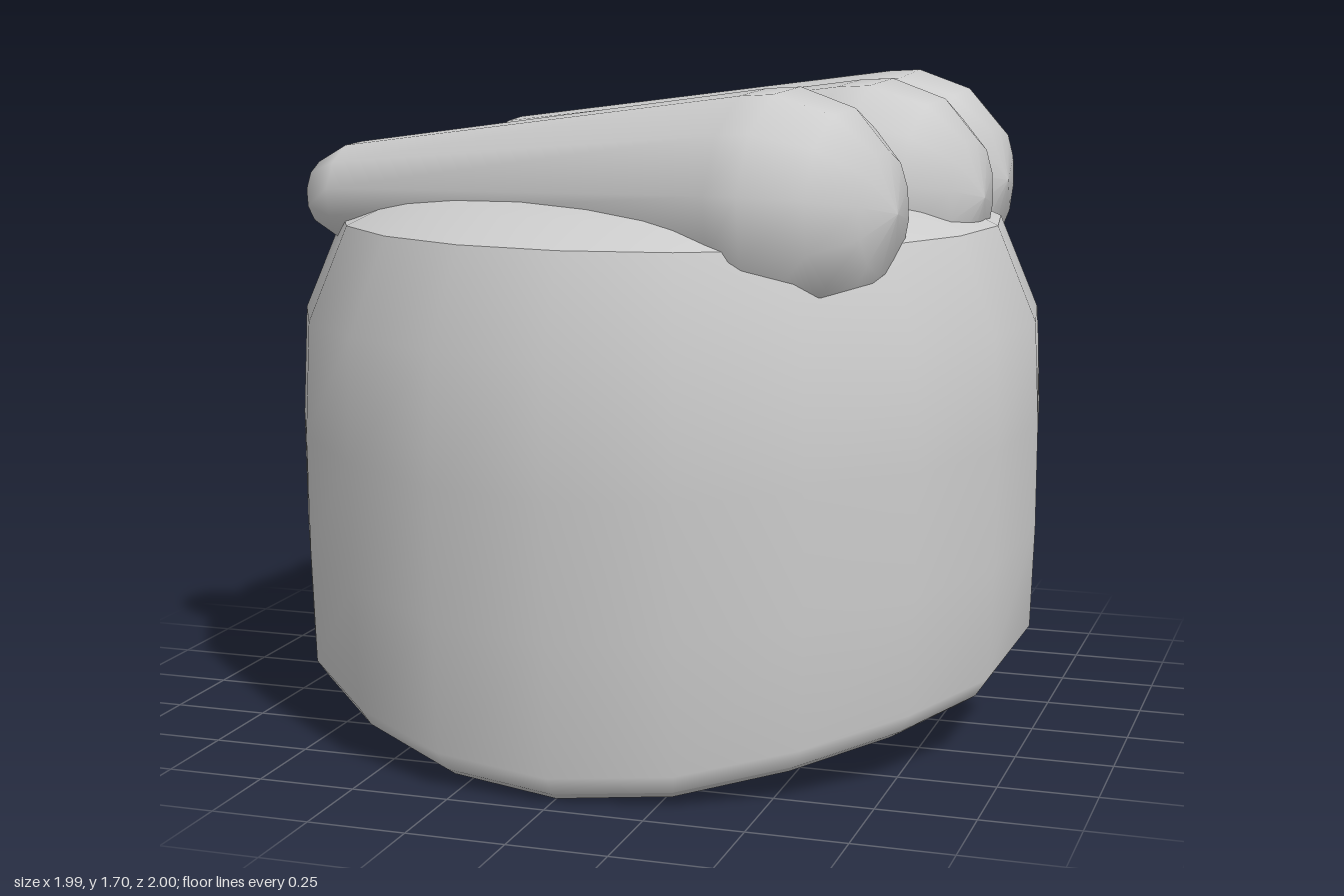
import * as THREE from 'three';

const SIDES = 20;
const grey = new THREE.MeshStandardMaterial({ color: 0xcccccc, side: THREE.DoubleSide });
grey.name = 'plain grey';

// Lower edge height by column, from the front (0) round to the back (10)
const EDGE = [0.0, 0.02, 0.07, 0.115, 0.145, 0.21, 0.76, 0.99, 0.99, 0.99, 0.99];
const edgeAt = (i) => EDGE[Math.min(i, SIDES - i)];

// Outer radius at a given height
const OUTER = [[0, 0.975], [0.25, 0.985], [0.7, 1.0], [1.08, 0.985], [1.33, 0.88]];
function outerRadius(y) {
  for (let k = 1; k < OUTER.length; k++) {
    const [y0, r0] = OUTER[k - 1], [y1, r1] = OUTER[k];
    if (y <= y1) return r0 + (r1 - r0) * (y - y0) / (y1 - y0);
  }
  return 0.88;
}

// Smooth ring surface; profile(i) gives [radius, y] points for column i, bottom to top
function ringSurface(name, profile) {
  const pos = [], index = [];
  const rows = profile(0).length;
  for (let i = 0; i < SIDES; i++) {
    const a = (i / SIDES) * Math.PI * 2;
    for (const [r, y] of profile(i)) pos.push(r * Math.sin(a), y, r * Math.cos(a));
  }
  for (let i = 0; i < SIDES; i++) {
    const n = (i + 1) % SIDES;
    for (let j = 0; j < rows - 1; j++) {
      const a = i * rows + j, b = n * rows + j;
      index.push(a, b, b + 1, a, b + 1, a + 1);
    }
  }
  const g = new THREE.BufferGeometry();
  g.setAttribute('position', new THREE.Float32BufferAttribute(pos, 3));
  g.setIndex(index);
  g.computeVertexNormals();
  const mesh = new THREE.Mesh(g, grey);
  mesh.name = name;
  return mesh;
}

// Rounded lower edge: full wall, tucked-in corner, inner corner
const wallBottom = (i) => {
  const y = edgeAt(i) + 0.07;
  return [outerRadius(y) + (y > 1 ? 0.012 : 0), y];
};
const outerCorner = (i) => [wallBottom(i)[0] - 0.035, edgeAt(i) + 0.02];
const innerCorner = (i) => [wallBottom(i)[0] - 0.065, edgeAt(i)];

// Tapered rounded roll, wide end at one point and thin end at the other
function roll(name, wide, thin) {
  const from = new THREE.Vector3(...wide), to = new THREE.Vector3(...thin);
  const L = from.distanceTo(to);
  const profile = [
    [0, -0.31], [0.15, -0.275], [0.25, -0.18], [0.3, -0.03], [0.295, 0.06],
    [0.14, L], [0.09, L + 0.1], [0, L + 0.13],
  ].map(([r, y]) => new THREE.Vector2(r, y));
  const mesh = new THREE.Mesh(new THREE.LatheGeometry(profile, 12), grey);
  mesh.name = name;
  mesh.position.copy(from);
  mesh.quaternion.setFromUnitVectors(new THREE.Vector3(0, 1, 0), to.clone().sub(from).normalize());
  return mesh;
}

export function createModel() {
  const model = new THREE.Group();
  model.name = 'cuff';

  // Outer wall, from the tucked-in lower corner to the top edge
  model.add(ringSurface('outerWall', (i) => {
    const [r0, y0] = wallBottom(i);
    const pts = [outerCorner(i), [r0, y0]];
    for (const t of [0.33, 0.67, 1]) {
      const y = y0 + (1.085 - y0) * t;
      pts.push([outerRadius(y), y]);
    }
    pts.push([0.88, 1.33]);
    return pts;
  }));

  // Lower rim
  model.add(ringSurface('lowerRim', (i) => [innerCorner(i), outerCorner(i)]));

  // Inner wall curving into the ceiling
  model.add(ringSurface('innerWall', (i) => {
    const [r, y] = innerCorner(i);
    return [[r, y], [0.935, y + (1.02 - y) * 0.5], [0.92, 1.02],
      [0.86, 1.11], [0.75, 1.16], [0.6, 1.16], [0.425, 1.12]];
  }));

  // Short collar around the ceiling opening
  model.add(ringSurface('collar', () => [[0.425, 1.12], [0.425, 1.37]]));

  // Slightly domed lid
  const lidProfile = [[0.88, 1.33], [0.75, 1.39], [0.6, 1.425], [0.35, 1.435], [0, 1.435]]
    .map(([r, y]) => new THREE.Vector2(r, y));
  const lid = new THREE.Mesh(new THREE.LatheGeometry(lidProfile, SIDES), grey);
  lid.name = 'lid';
  model.add(lid);

  // Three rolls lying across the top
  model.add(roll('frontRoll', [0.44, 1.405, 0.51], [-0.79, 1.39, 0.28]));
  model.add(roll('middleRoll', [0.55, 1.405, 0], [-0.65, 1.4, -0.22]));
  model.add(roll('backRoll', [0.51, 1.405, -0.53], [-0.72, 1.4, -0.715]));

  return model;
}
